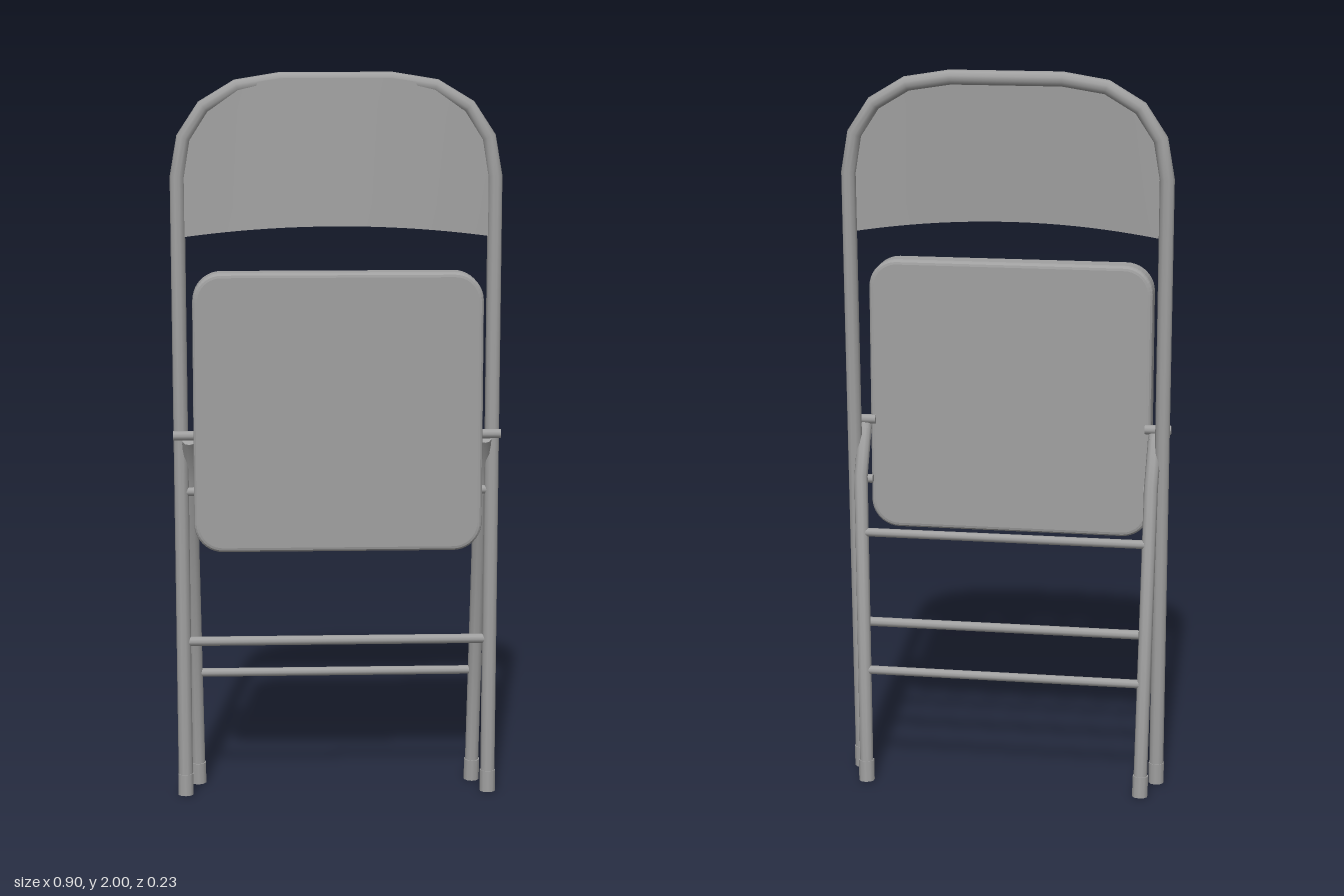
import * as THREE from 'three';

const V = (x, y, z) => new THREE.Vector3(x, y, z);

// Polyline whose rings land exactly on its points, so bends stay faceted
class Bent extends THREE.Curve {
  constructor(points) { super(); this.points = points; }
  getPoint(t) {
    const n = this.points.length - 1, i = Math.min(Math.floor(t * n + 1e-6), n - 1);
    return this.points[i].clone().lerp(this.points[i + 1], t * n - i);
  }
  getPointAt(t) { return this.getPoint(t); }
  getTangentAt(t) {
    const n = this.points.length - 1, i = Math.round(t * n), p = this.points;
    const d = (a, b) => p[b].clone().sub(p[a]).normalize();
    if (i === 0) return d(0, 1);
    if (i === n) return d(n - 1, n);
    return d(i - 1, i).add(d(i, i + 1)).normalize();
  }
}

export function createModel() {
  const chair = new THREE.Group();
  chair.name = 'foldingChair';
  const steel = new THREE.MeshStandardMaterial({ color: 0xa0a0a0 });
  steel.name = 'grey steel';
  const sheet = steel.clone();
  sheet.name = 'grey sheet steel';
  sheet.side = THREE.DoubleSide;

  const add = (name, geometry, material = steel) => {
    const mesh = new THREE.Mesh(geometry, material);
    mesh.name = name;
    chair.add(mesh);
    return mesh;
  };
  const tube = (name, points, r) =>
    add(name, new THREE.TubeGeometry(new Bent(points), points.length - 1, r, 10));
  // Closed straight rod between two points
  const rod = (name, a, b, r, sides = 10) => {
    const d = b.clone().sub(a);
    const mesh = add(name, new THREE.CylinderGeometry(r, r, d.length(), sides));
    mesh.position.copy(a).lerp(b, 0.5);
    mesh.quaternion.setFromUnitVectors(V(0, 1, 0), d.normalize());
    return mesh;
  };

  // Front frame: two legs joined by a rounded hoop, leaning slightly back
  const frameZ = y => 0.019 - 0.0195 * y;
  const side = [[0.423, 0.01], [0.43, 1.72], [0.412, 1.825], [0.358, 1.907], [0.268, 1.961], [0.15, 1.98]];
  const half = side.map(([x, y]) => V(x, y, frameZ(y)));
  const mirrored = half.map(p => V(-p.x, p.y, p.z)).reverse();
  tube('frontFrame', [...half, ...mirrored], 0.02);

  // Backrest: thin sheet filling the hoop, bulging forward
  const hoopTop = x => {
    const a = Math.min(Math.abs(x), 0.429);
    for (let i = 1; i < side.length - 1; i++) {
      const [x0, y0] = side[i], [x1, y1] = side[i + 1];
      if (a >= x1) return y0 + (y1 - y0) * (x0 - a) / (x0 - x1);
    }
    return 1.98;
  };
  const back = new THREE.PlaneGeometry(1, 1, 28, 6);
  const pos = back.attributes.position;
  for (let i = 0; i < pos.count; i++) {
    const s = Math.sin(pos.getX(i) * Math.PI), v = pos.getY(i) + 0.5;
    const x = 0.425 * s, dome = 1 - s * s;
    const low = 1.557 + 0.032 * dome;
    const y = low + (hoopTop(x) + 0.004 - low) * v;
    pos.setXYZ(i, x, y, frameZ(y) + (0.032 - 0.012 * v) * dome + 0.004);
  }
  back.computeVertexNormals();
  add('backrest', back, sheet);

  // Seat: padded rounded slab, folded upright
  const w = 0.378, h = 0.368, r = 0.065;
  const outline = new THREE.Shape();
  outline.moveTo(-w + r, -h);
  outline.absarc(w - r, -h + r, r, -Math.PI / 2, 0);
  outline.absarc(w - r, h - r, r, 0, Math.PI / 2);
  outline.absarc(-w + r, h - r, r, Math.PI / 2, Math.PI);
  outline.absarc(-w + r, -h + r, r, Math.PI, Math.PI * 1.5);
  const seat = add('seat', new THREE.ExtrudeGeometry(outline, {
    depth: 0.05, bevelThickness: 0.012, bevelSize: 0.013, bevelSegments: 3, curveSegments: 5,
  }));
  seat.position.set(0, 1.092, 0.052);

  for (const s of [1, -1]) {
    // Rear leg with its forward bend towards the seat pivot
    const foot = V(s * 0.388, 0.01, -0.09), bend = V(s * 0.402, 0.88, -0.044);
    tube('rearLeg', [foot, bend, V(s * 0.404, 1.0, 0.028)], 0.019);
    rod('rearLegEnd', V(s * 0.404, 0.995, 0.025), V(s * 0.404, 1.008, 0.033), 0.019);

    // Foot caps
    rod('frontFoot', V(s * 0.423, 0, 0.019), V(s * 0.4232, 0.06, 0.018), 0.022);
    rod('rearFoot', V(s * 0.388, 0, -0.09), V(s * 0.389, 0.06, -0.087), 0.022);

    // Pivot pins
    rod('seatPivot', V(s * 0.375, 1.022, 0.04), V(s * 0.447, 1.022, 0.04), 0.013);
    rod('legPivot', V(s * 0.378, 0.86, 0.004), V(s * 0.43, 0.86, 0.004), 0.012);
  }

  // Cross bars
  const bar = (name, y, z, x, radius) => rod(name, V(-x, y, z), V(x, y, z), radius);
  bar('frontBar', 0.438, 0.011, 0.42, 0.013);
  bar('lowerRearBar', 0.325, -0.075, 0.39, 0.012);
  bar('upperRearBar', 0.722, -0.055, 0.398, 0.012);

  return chair;
}
